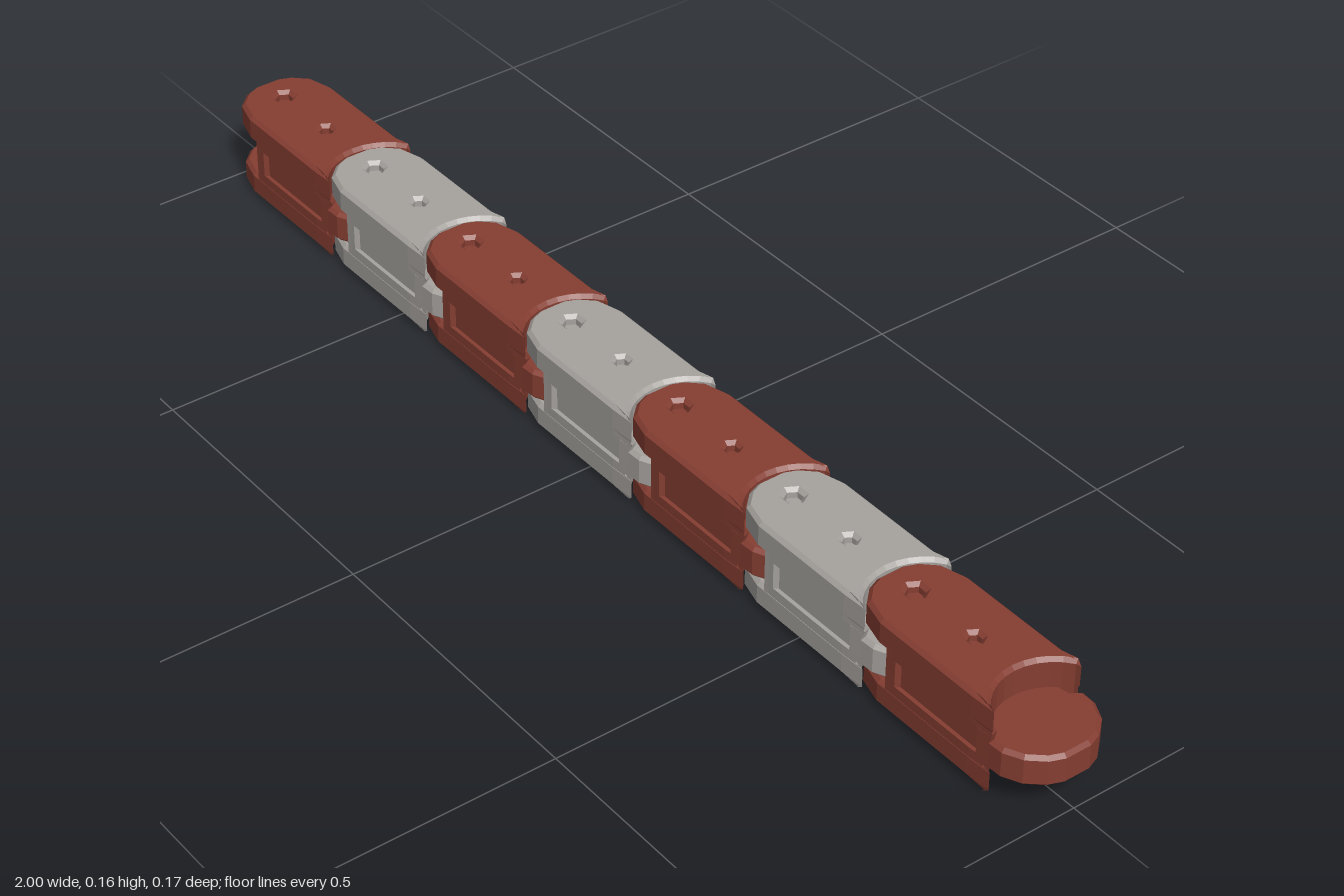
import * as THREE from 'three';

const PITCH = 0.2675, LINKS = 7;

// Plan outline from half-profile points [x, z], mirrored across z = 0
function mirrored(half) {
  const other = half.filter(p => p[1] > 1e-6).map(([x, z]) => [x, -z]).reverse();
  return new THREE.Shape([...half, ...other].map(([x, z]) => new THREE.Vector2(x, z)));
}

// Horizontal slab between two heights, with optional chamfered edges
function slab(shape, y0, y1, bevel = 0) {
  const g = new THREE.ExtrudeGeometry(shape, {
    depth: y1 - y0 - 2 * bevel, bevelEnabled: bevel > 0, bevelSegments: 1,
    bevelSize: bevel, bevelThickness: bevel, bevelOffset: -bevel
  });
  g.rotateX(-Math.PI / 2);
  g.translate(0, y0 + bevel, 0);
  return g;
}

// Points on an arc centred at x = cx, from angle a to b in degrees
function arc(cx, r, a, b, n) {
  return Array.from({ length: n + 1 }, (_, i) => {
    const t = THREE.MathUtils.degToRad(a + (b - a) * i / n);
    return [cx + r * Math.cos(t), r * Math.sin(t)];
  });
}

// Six-sided hole, wound against the outline
function hexHole(x, r) {
  return new THREE.Path(arc(0, r, 0, 300, 5).map(([u, v]) => new THREE.Vector2(x + u, v)));
}

function createLink(material) {
  const link = new THREE.Group();
  const add = (name, geometry) => {
    const m = new THREE.Mesh(geometry, material);
    m.name = name;
    link.add(m);
    return m;
  };

  // Scooped rear edge that receives the next rounded nose
  const scoop = arc(0.354, 0.093, 125, 180, 5);
  const plate = () => mirrored([
    [0, 0.022], [0.009, 0.044], [0.032, 0.068], [0.075, 0.08],
    [0.265, 0.08], [0.309, 0.078], ...scoop
  ]);

  // Upper and lower fork plates
  const holes = [[0.055, 0.015], [0.18, 0.011]];
  const top = plate();
  top.holes = holes.map(([x, r]) => hexHole(x, r));
  add('topPlate', slab(top, 0.111, 0.157, 0.006));
  add('bottomPlate', slab(plate(), 0.006, 0.049, 0.006));

  // Sunken pins inside the top holes
  for (const [x, r] of holes) {
    const pin = new THREE.CylinderGeometry(r, r, 0.02, 6).toNonIndexed();
    pin.rotateY(Math.PI / 6);
    pin.computeVertexNormals();
    add('pin', pin).position.set(x, 0.131, 0);
  }

  // Centre block, hollowed in front for the tongue and recessed along the sides
  const socket = [...arc(0.043, 0.093, 0, 59, 4), [0.1, 0.0795]];
  const end = [[0.307, 0.0775], ...scoop];
  const solid = () => mirrored([...socket, [0.265, 0.0795], ...end]);
  const recessed = mirrored([
    ...socket, [0.11, 0.0795], [0.116, 0.073], [0.274, 0.073], [0.28, 0.0793], ...end
  ]);
  add('lowerRail', slab(solid(), 0.04, 0.06));
  add('sideRecess', slab(recessed, 0.06, 0.105));
  add('upperRail', slab(solid(), 0.105, 0.12));

  // Rounded tongue held by the next fork
  const tongue = mirrored([
    [0.24, 0.06], [0.3, 0.07], [0.31, 0.085], [0.335, 0.084],
    [0.364, 0.07], [0.386, 0.045], [0.395, 0.022]
  ]);
  add('tongue', slab(tongue, 0.054, 0.107, 0.006));

  // Shallow crown under the link
  const crown = new THREE.ConeGeometry(1, 0.0075, 8).toNonIndexed();
  crown.rotateX(Math.PI);
  crown.scale(0.11, 1, 0.06);
  crown.computeVertexNormals();
  add('crown', crown).position.set(0.13, 0.00375, 0);

  return link;
}

export function createModel() {
  const model = new THREE.Group();
  model.name = 'linkedChain';
  const red = new THREE.MeshStandardMaterial({ color: 0x863e32 });
  red.name = 'brickRed';
  const grey = new THREE.MeshStandardMaterial({ color: 0xa6a29e });
  grey.name = 'warmGrey';

  for (let i = 0; i < LINKS; i++) {
    const link = createLink(i % 2 ? grey : red);
    link.name = i % 2 ? 'greyLink' : 'redLink';
    link.position.x = -1 + i * PITCH;
    model.add(link);
  }
  return model;
}
